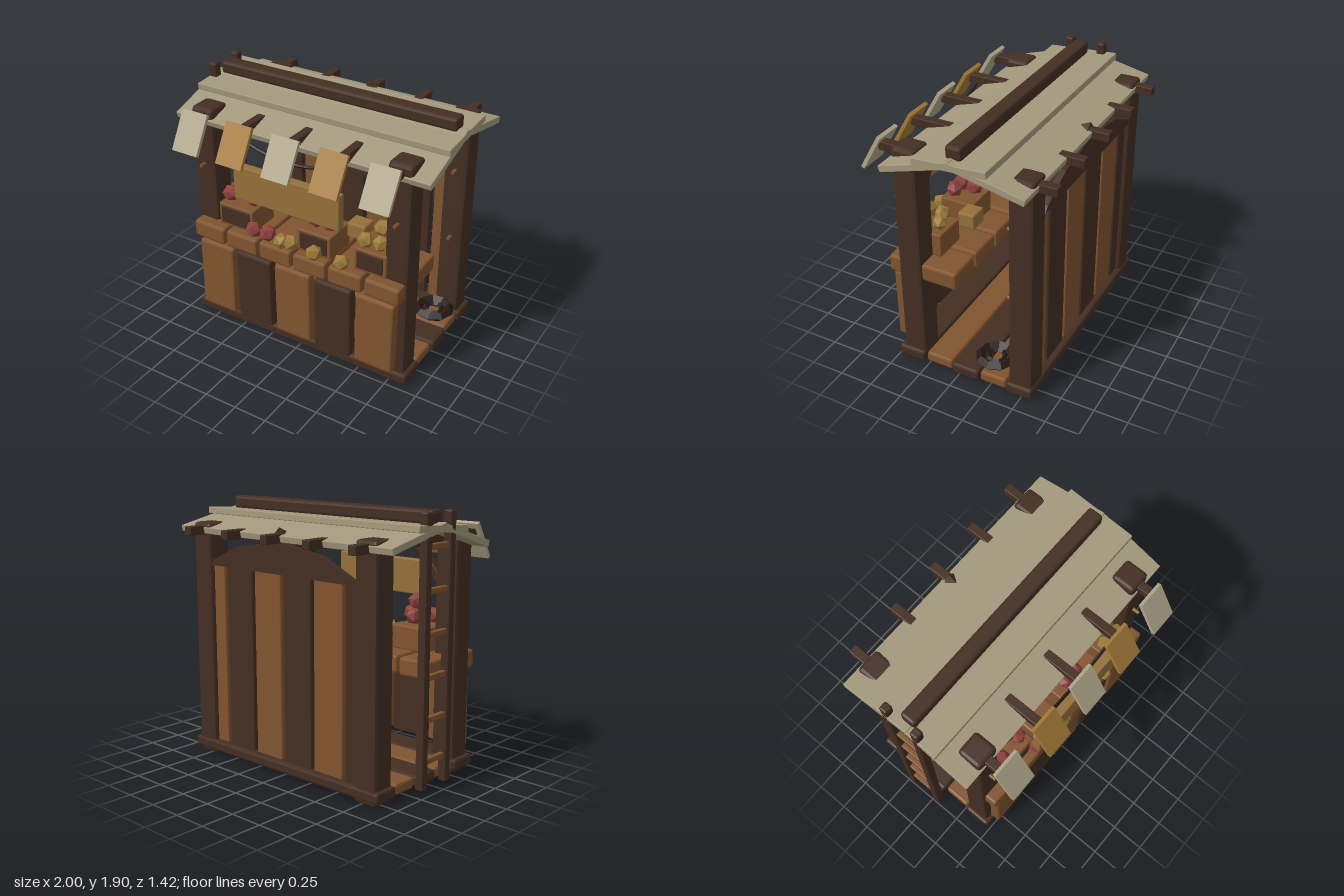
import * as THREE from 'three';
import { RoundedBoxGeometry } from 'three/addons/geometries/RoundedBoxGeometry.js';

const paint = (color) => new THREE.MeshStandardMaterial({ color, flatShading: true });
const DARK = paint(0x432e22), BROWN = paint(0x80542f), CREAM = paint(0xb0a68a), GOLD = paint(0xa67a38),
  ROOF = paint(0xa3987c), SIGN = paint(0x94703a), RED = paint(0x8c403c), YELLOW = paint(0x9c7a38), ROPE = paint(0x241a16);

export function createModel() {
  const model = new THREE.Group();

  const add = (name, geometry, material, x = 0, y = 0, z = 0) => {
    const mesh = new THREE.Mesh(geometry, material);
    mesh.name = name;
    mesh.position.set(x, y, z);
    model.add(mesh);
    return mesh;
  };
  // Chamfered block given by its extents along each axis
  const block = (name, material, [x0, x1], [y0, y1], [z0, z1], r = 0.012) =>
    add(name, new RoundedBoxGeometry(x1 - x0, y1 - y0, z1 - z0, 1, r), material,
      (x0 + x1) / 2, (y0 + y1) / 2, (z0 + z1) / 2);
  // Roof board running along x, centred between two points (z, y)
  const slab = (name, z0, y0, z1, y1) => {
    const g = new RoundedBoxGeometry(2, 0.048, Math.hypot(z1 - z0, y1 - y0), 1, 0.005);
    add(name, g, ROOF, 0, (y0 + y1) / 2, (z0 + z1) / 2).rotation.x = -Math.atan2(y1 - y0, z1 - z0);
  };

  // Floor boards
  [[0.27, 0.48], [0.05, 0.26], [-0.17, 0.04], [-0.38, -0.18], [-0.59, -0.39]].forEach((z, i) => {
    const w = i % 2 ? 0.88 : 0.9;
    block('floorBoard', i % 2 ? BROWN : DARK, [-w, w], [0.03, 0.11], z, 0.018);
  });

  // Corner posts, their pegs and the front braces
  for (const s of [-1, 1]) {
    const x = s * 0.78;
    block('frontPost', DARK, [x - 0.09, x + 0.09], [0, 1.74], [0.27, 0.45], 0.025);
    block('backPost', DARK, [x - 0.09, x + 0.09], [0, 1.74], [-0.58, -0.4], 0.025);
    for (const [y, z] of [[1.31, 0.47], [1.31, -0.38], [0.76, -0.38]])
      add('peg', new THREE.CylinderGeometry(0.013, 0.013, 0.06, 6), BROWN, x, y, z).rotation.x = Math.PI / 2;
    add('brace', new RoundedBoxGeometry(0.06, 0.44, 0.06, 1, 0.008), DARK, s * 0.58, 1.48, 0.36).rotation.z = s * 0.68;
  }

  // Back wall planks with a low gable board over them
  for (let i = 0; i < 6; i++) {
    const x = -0.71 + i * 0.284;
    block('wallPlank', i % 2 ? BROWN : DARK, [x - 0.128, x + 0.128], [0.1, 1.47], [-0.545, -0.495]);
  }
  const gable = new THREE.Shape([[-0.69, 1.44], [0.69, 1.44], [0.66, 1.48], [0.4, 1.6], [0, 1.66], [-0.4, 1.6], [-0.66, 1.48]]
    .map(([x, y]) => new THREE.Vector2(x, y)));
  add('gableBoard', new THREE.ExtrudeGeometry(gable, { depth: 0.04, bevelEnabled: false }), DARK, 0, 0, -0.575);

  // Rafters
  for (let i = -2; i <= 2; i++) {
    const x = i * 0.39;
    block('rafter', DARK, [x - 0.032, x + 0.032], [1.655, 1.72], [-0.71, 0.585], 0.006);
  }
  const wedge = add('rafterWedge', new THREE.ConeGeometry(0.045, 0.1, 4), DARK, 0, 1.715, -0.51);
  wedge.rotation.x = Math.PI / 2;

  // Overlapping roof boards and the ridge beam
  slab('backRoof', -0.585, 1.683, -0.03, 1.8);
  slab('frontRoof', -0.07, 1.8, 0.455, 1.64);
  slab('topRoof', -0.325, 1.8, 0.205, 1.765);
  block('ridgeBeam', DARK, [-0.945, 0.94], [1.805, 1.9], [-0.12, -0.005], 0.02);

  // Ladder
  for (const z of [0.038, -0.215])
    block('ladderRail', DARK, [-1, -0.937], [0.05, 1.9], [z - 0.031, z + 0.031], 0.012);
  for (let i = 0; i < 6; i++) {
    const y = 0.24 + i * 0.287;
    block('ladderRung', BROWN, [-0.985, -0.95], [y - 0.02, y + 0.02], [-0.2, 0.02], 0.006);
  }

  // Awning flaps, the cord behind them and the sign board
  for (let i = -2; i <= 2; i++) {
    const flap = add('awningFlap', new THREE.BoxGeometry(0.21, 0.295, 0.027), i % 2 ? GOLD : CREAM, i * 0.37, 1.635, 0.625);
    flap.rotation.x = -0.52;
  }
  const cord = new THREE.QuadraticBezierCurve3(
    new THREE.Vector3(-0.39, 1.65, 0.53), new THREE.Vector3(0, 1.48, 0.53), new THREE.Vector3(0.39, 1.65, 0.53));
  add('cord', new THREE.TubeGeometry(cord, 10, 0.012, 5), ROPE);
  block('signBoard', SIGN, [-0.425, 0.42], [1.2, 1.46], [0.52, 0.585], 0.008);

  // Counter front panels
  for (let i = 0; i < 5; i++) {
    const x = (i - 2) * 0.333;
    const panel = block('frontPanel', i % 2 ? DARK : BROWN, [x - 0.148, x + 0.148], [0.14, 0.71], [0.45, 0.535], 0.018);
    panel.rotation.z = [-0.012, 0, 0.008, 0, -0.012][i];
  }

  // Counter top planks
  for (let i = 0; i < 6; i++) {
    const x = -0.715 + i * 0.287;
    const plank = block('counterPlank', BROWN, [x - 0.132, x + 0.132], [0.73, 0.862], [0.01, 0.54], 0.018);
    plank.rotation.z = [-0.03, -0.02, 0, 0, 0.01, -0.03][i];
  }

  // Open crates with a dark front panel
  for (const [x0, x1] of [[-0.665, -0.37], [0.01, 0.28], [0.465, 0.715]]) {
    block('crate', BROWN, [x0, x1], [0.86, 1.035], [0.2, 0.465], 0.01);
    block('cratePanel', DARK, [x0 + 0.025, x1 - 0.025], [0.885, 1.015], [0.44, 0.475], 0.004);
  }
  block('redBox', RED, [-0.235, -0.07], [0.94, 1.055], [0.11, 0.24]);
  block('yellowBox', SIGN, [0.275, 0.42], [0.935, 1.05], [0.11, 0.24]);

  // Faceted fruit
  const fruit = (name, material, r, spots) => spots.forEach(([x, y, z], i) =>
    add(name, new THREE.IcosahedronGeometry(r, 0), material, x, y, z).rotation.set(0.1 * i, 0.7 * i, 0.05 * i));
  fruit('redFruit', RED, 0.063, [
    [-0.6, 1.1, 0.4], [-0.51, 1.1, 0.27], [-0.485, 1.2, 0.33], [-0.41, 1.1, 0.38],
    [0.07, 1.15, 0.28], [0.12, 1.1, 0.38], [0.22, 1.1, 0.38], [0.16, 1.12, 0.25],
    [-0.335, 0.93, 0.5], [-0.22, 0.93, 0.49]]);
  fruit('yellowFruit', YELLOW, 0.06, [
    [0.53, 1.09, 0.42], [0.57, 1.12, 0.27], [0.625, 1.17, 0.34], [0.645, 1.1, 0.42], [0.63, 1.09, 0.25],
    [-0.09, 0.925, 0.52], [-0.02, 0.925, 0.5], [0.185, 0.925, 0.525], [0.405, 0.925, 0.525]]);

  // Coil lying inside the open side
  for (const [r, t] of [[0.118, 0.036], [0.06, 0.02]]) {
    const ring = add('coil', new THREE.TorusGeometry(r, t, 4, 9), ROPE, 0.755, 0.19, -0.25);
    ring.rotation.x = Math.PI / 2;
  }
  return model;
}
